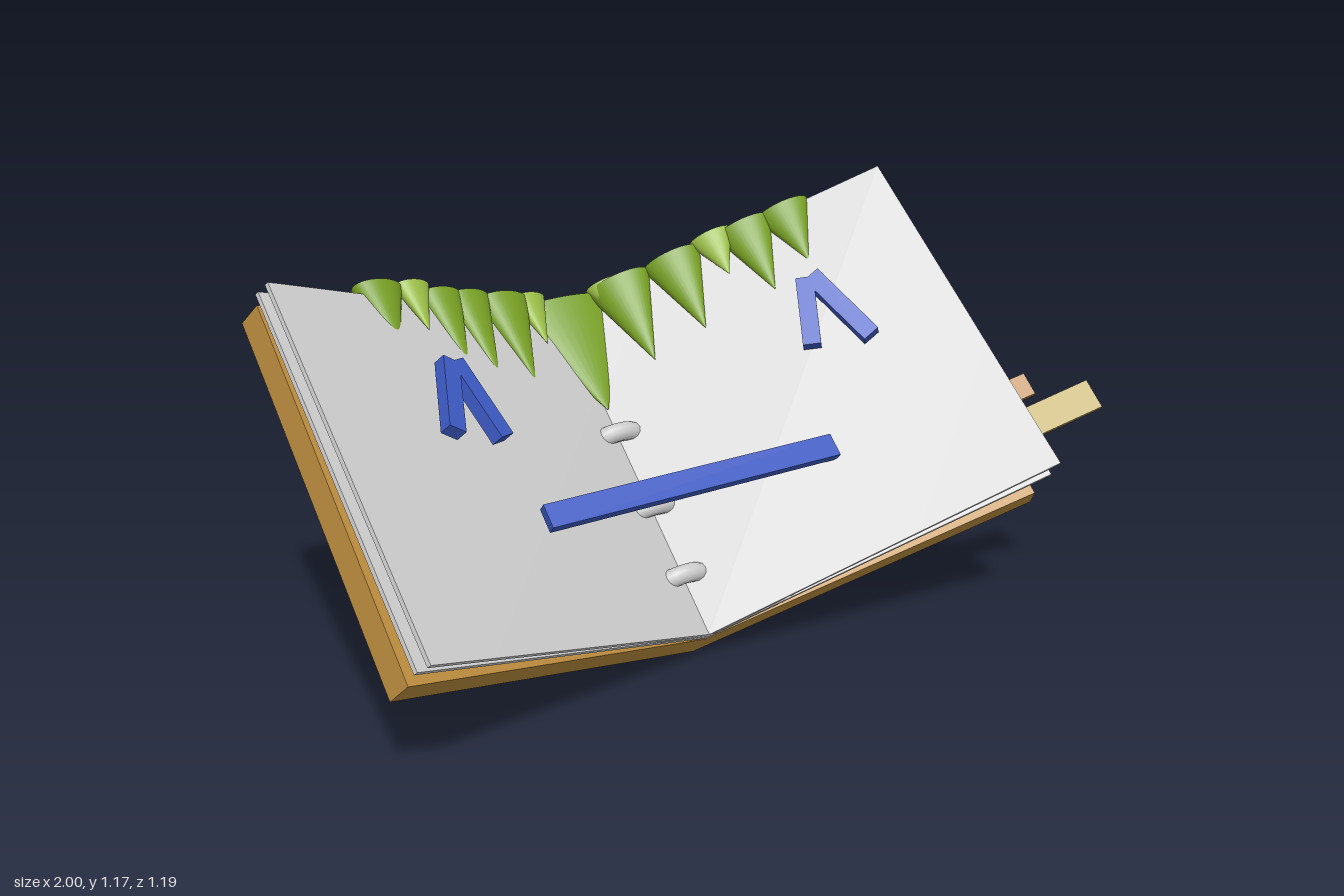
import * as THREE from 'three';

const mat = (color) => new THREE.MeshStandardMaterial({ color });
const GREY = mat(0xcccccc), COVER = mat(0xb98a3c), BLUE = mat(0x3b58c0);
const GREEN = mat(0x78a024), LIGHT = mat(0x9cbf48), YELLOW = mat(0xb5a04c), BROWN = mat(0xb58548);

function add(parent, name, geometry, material, x = 0, y = 0, z = 0) {
  const mesh = new THREE.Mesh(geometry, material);
  mesh.name = name;
  mesh.position.set(x, y, z);
  parent.add(mesh);
  return mesh;
}

// Leaf hinged on the spine: bottom and top outer corners [x, y, z], thickened towards the reader
function leaf(side, spineZ, bottom, top, thick, spineThick) {
  const g = new THREE.BoxGeometry(1, 1, 1);
  const p = g.attributes.position;
  const b = new THREE.Vector3(...bottom), t = new THREE.Vector3(...top);
  const angle = Math.atan2(b.z - spineZ, Math.abs(b.x));
  for (let i = 0; i < p.count; i++) {
    const outer = p.getX(i) * side > 0, upper = p.getY(i) > 0, inner = p.getZ(i) > 0;
    const c = outer ? (upper ? t.clone() : b.clone()) : new THREE.Vector3(0, upper ? t.y : 0, spineZ);
    if (inner && outer) c.add(new THREE.Vector3(-side * Math.sin(angle) * thick, 0, Math.cos(angle) * thick));
    if (inner && !outer) c.z += spineThick;
    p.setXYZ(i, c.x, c.y, c.z);
  }
  g.computeVertexNormals();
  return g;
}

// Flat bar between two points in a frame whose z is the facing direction
function bar(parent, name, a, b, width, depth, material) {
  const from = new THREE.Vector2(...a), to = new THREE.Vector2(...b);
  const mid = from.clone().add(to).multiplyScalar(0.5);
  const m = add(parent, name, new THREE.BoxGeometry(width, from.distanceTo(to), depth), material, mid.x, mid.y, 0.024);
  m.rotation.z = Math.atan2(to.y - from.y, to.x - from.x) - Math.PI / 2;
  return m;
}

export function createModel() {
  const model = new THREE.Group();
  model.name = 'openBook';

  // Book frame: y runs up the spine, z faces the reader
  const book = new THREE.Group();
  book.name = 'book';
  book.position.set(-0.03, 0, 0.15);
  book.rotation.x = -0.823;
  model.add(book);

  // Covers
  add(book, 'rightHandCover', leaf(1, 0, [0.905, 0, 0.457], [0.905, 1.015, 0.457], 0.075, 0.082), COVER);
  add(book, 'leftHandCover', leaf(-1, 0, [-0.955, 0, 0.334], [-0.97, 1.015, 0.334], 0.075, 0.082), COVER);

  // Pages
  add(book, 'upperPage', leaf(1, 0.1, [0.865, 0.012, 0.664], [0.855, 1.032, 0.632], 0.012, 0.013), GREY);
  add(book, 'lowerPage', leaf(1, 0.086, [0.885, 0.012, 0.594], [0.88, 1.025, 0.568], 0.012, 0.013), GREY);
  add(book, 'upperPage', leaf(-1, 0.1, [-0.92, -0.008, 0.522], [-0.945, 1.007, 0.5], 0.012, 0.013), GREY);
  add(book, 'lowerPage', leaf(-1, 0.086, [-0.94, -0.004, 0.487], [-0.96, 1.01, 0.46], 0.012, 0.013), GREY);

  // Binder rings around the spine
  for (const y of [0.17, 0.378, 0.613]) {
    add(book, 'binderRing', new THREE.TorusGeometry(0.083, 0.026, 12, 32).rotateX(Math.PI / 2), GREY, 0, y, 0.055);
  }

  // Mouth bar bridging the two pages
  add(book, 'mouth', new THREE.BoxGeometry(0.87, 0.065, 0.027), BLUE, -0.005, 0.32, 0.383).rotation.y = -0.028;

  // Eyes: two bars in an inverted V, laid on each page
  const eyes = [
    { tilt: 0.43, legs: [[[-0.592, 0.785], [-0.672, 0.575]], [[-0.572, 0.785], [-0.505, 0.565]]] },
    { tilt: -0.57, legs: [[[0.655, 0.79], [0.588, 0.6]], [[0.675, 0.79], [0.745, 0.555]]] },
  ];
  for (const { tilt, legs } of eyes) {
    const eye = new THREE.Group();
    eye.name = 'eye';
    eye.position.z = 0.113;
    eye.rotation.y = tilt;
    book.add(eye);
    for (const [a, b] of legs) bar(eye, 'eyeBar', a, b, 0.05, 0.036, BLUE);
  }

  // Fringe: flattened cones hanging from the top edge [x, radius, tip height, light]
  const fringe = [
    [0, 0.185, 0.69], [-0.13, 0.058, 0.89, 1], [-0.222, 0.09, 0.776], [-0.342, 0.075, 0.78],
    [-0.43, 0.07, 0.806], [-0.52, 0.055, 0.905, 1], [-0.622, 0.075, 0.861], [0.11, 0.055, 0.93, 1],
    [0.152, 0.095, 0.77], [0.295, 0.088, 0.794], [0.395, 0.065, 0.91, 1], [0.487, 0.085, 0.815], [0.592, 0.08, 0.853],
  ];
  for (const [x, radius, tip, light] of fringe) {
    const top = light ? 1.042 : 1.035;
    const slope = x > 0 ? 0.6 : x < 0 ? -0.39 : 0;
    const cone = add(book, 'fringeTuft', new THREE.ConeGeometry(radius, top - tip, 32).rotateX(Math.PI),
      light ? LIGHT : GREEN, x, (top + tip) / 2, 0.125 + x * slope + (light ? 0.018 : 0));
    cone.scale.z = x === 0 ? 0.36 : 0.6;
    cone.rotation.y = -Math.atan(slope);
  }

  // Index tabs sticking out of the side [start x, z], [end x, z]
  const tabs = [
    { a: [0.82, 0.617], b: [1.03, 0.738], y: 0.153, width: 0.085, material: YELLOW },
    { a: [0.84, 0.545], b: [0.972, 0.608], y: 0.278, width: 0.066, material: BROWN },
  ];
  for (const { a, b, y, width, material } of tabs) {
    const dx = b[0] - a[0], dz = b[1] - a[1];
    const tab = add(book, 'indexTab', new THREE.BoxGeometry(Math.hypot(dx, dz), width, 0.014), material,
      (a[0] + b[0]) / 2, y, (a[1] + b[1]) / 2);
    tab.rotation.y = -Math.atan2(dz, dx);
  }

  return model;
}
